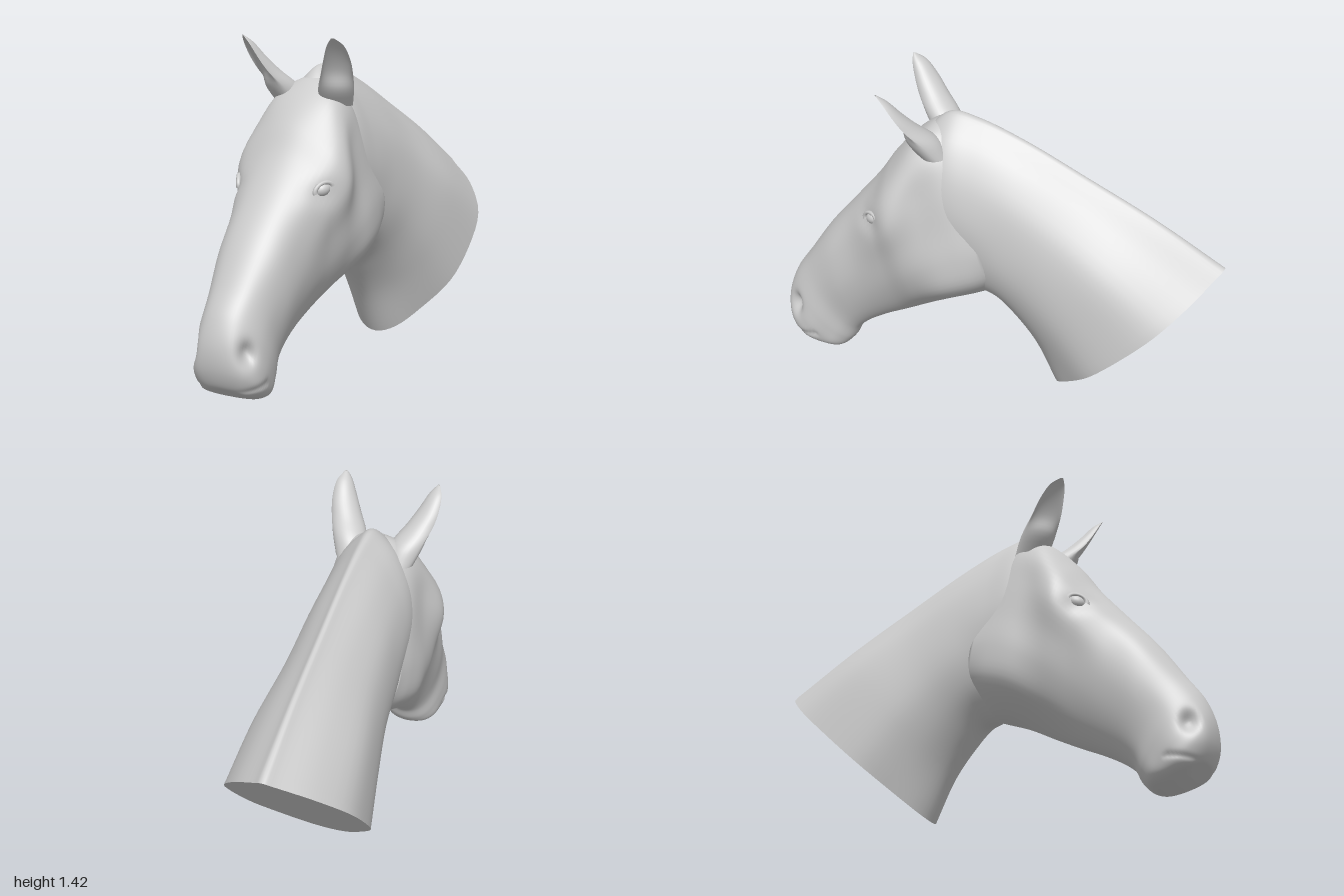
import * as THREE from 'three';

const V = (x, y, z) => new THREE.Vector3(x, y, z);
const material = new THREE.MeshStandardMaterial({ color: 0xcccccc });

// Surface through a list of equal-length closed rings, wound to face outwards
function loft(rings) {
  const n = rings[0].length, pos = [], idx = [];
  rings.forEach(r => r.forEach(p => pos.push(p.x, p.y, p.z)));
  let volume = 0;
  const at = i => rings[Math.floor(i / n)][i % n];
  for (let i = 0; i < rings.length - 1; i++) {
    for (let j = 0; j < n; j++) {
      const a = i * n + j, b = i * n + (j + 1) % n;
      for (const t of [[a, b, b + n], [a, b + n, a + n]]) {
        idx.push(...t);
        volume += at(t[0]).dot(at(t[1]).clone().cross(at(t[2])));
      }
    }
  }
  if (volume < 0) idx.reverse();
  const g = new THREE.BufferGeometry();
  g.setAttribute('position', new THREE.Float32BufferAttribute(pos, 3));
  g.setIndex(idx);
  g.computeVertexNormals();
  return g;
}

// Ring that closes an end to a point at its centre
function closing(ring) {
  const c = V(0, 0, 0);
  ring.forEach(p => c.add(p));
  c.divideScalar(ring.length);
  return ring.map(() => c.clone());
}

// Smooth rings from control rings: splines around, then along
function smooth(control, around, along) {
  const fine = control.map(pts => {
    const curve = new THREE.CatmullRomCurve3(pts, true, 'catmullrom', 0.5);
    return Array.from({ length: around }, (_, j) => curve.getPoint(j / around));
  });
  const columns = fine[0].map((_, j) => new THREE.CatmullRomCurve3(fine.map(r => r[j])));
  return Array.from({ length: along + 1 }, (_, i) => columns.map(c => c.getPoint(i / along)));
}

// Cross-section: top and bottom midline points [z, y], then seven half widths from top to bottom
function section([tz, ty, bz, by, ...w]) {
  const pts = [];
  for (let k = 0; k < 16; k++) {
    const m = k <= 8 ? k : 16 - k;
    const t = (1 - Math.cos(m * Math.PI / 8)) / 2;
    const half = m === 0 || m === 8 ? 0 : w[m - 1];
    pts.push(V(k <= 8 ? half : -half, ty + (by - ty) * t, tz + (bz - tz) * t));
  }
  return pts;
}

const neckSections = [
  [-1.0, 0.77, -0.285, 0.055, 0.05, 0.17, 0.27, 0.29, 0.265, 0.175, 0.09],
  [-0.7, 0.94, -0.19, 0.24, 0.04, 0.145, 0.24, 0.26, 0.24, 0.17, 0.08],
  [-0.4, 1.085, -0.1, 0.36, 0.035, 0.12, 0.2, 0.228, 0.215, 0.16, 0.08],
  [-0.12, 1.215, -0.03, 0.43, 0.035, 0.115, 0.185, 0.213, 0.207, 0.16, 0.08],
  [0.08, 1.285, 0.05, 0.455, 0.04, 0.115, 0.18, 0.21, 0.195, 0.15, 0.07],
  [0.2, 1.3, 0.16, 0.52, 0.045, 0.12, 0.178, 0.203, 0.19, 0.14, 0.06],
  [0.29, 1.23, 0.25, 0.6, 0.055, 0.12, 0.165, 0.19, 0.19, 0.14, 0.06],
  [0.36, 1.12, 0.32, 0.7, 0.05, 0.1, 0.14, 0.16, 0.15, 0.1, 0.05],
];

const headSections = [
  [0.13, 1.22, -0.05, 0.5, 0.05, 0.105, 0.155, 0.19, 0.205, 0.17, 0.07],
  [0.25, 1.255, 0.04, 0.455, 0.095, 0.16, 0.192, 0.212, 0.228, 0.205, 0.1],
  [0.34, 1.2, 0.16, 0.405, 0.13, 0.195, 0.213, 0.225, 0.24, 0.215, 0.11],
  [0.45, 1.08, 0.3, 0.325, 0.11, 0.222, 0.266, 0.242, 0.218, 0.165, 0.075],
  [0.53, 0.96, 0.42, 0.26, 0.1, 0.198, 0.226, 0.207, 0.177, 0.125, 0.06],
  [0.65, 0.81, 0.52, 0.21, 0.09, 0.155, 0.18, 0.18, 0.155, 0.11, 0.055],
  [0.78, 0.65, 0.61, 0.155, 0.08, 0.137, 0.162, 0.165, 0.143, 0.105, 0.055],
  [0.89, 0.485, 0.66, 0.11, 0.07, 0.117, 0.143, 0.147, 0.133, 0.105, 0.06],
  [0.965, 0.37, 0.69, 0.05, 0.065, 0.112, 0.143, 0.152, 0.14, 0.115, 0.07],
  [0.998, 0.265, 0.73, 0.012, 0.07, 0.117, 0.142, 0.152, 0.14, 0.12, 0.075],
  [0.995, 0.17, 0.79, 0.012, 0.07, 0.11, 0.132, 0.14, 0.13, 0.105, 0.065],
  [0.967, 0.098, 0.87, 0.037, 0.045, 0.075, 0.095, 0.103, 0.097, 0.077, 0.045],
  [0.945, 0.08, 0.89, 0.045, 0.02, 0.035, 0.045, 0.05, 0.045, 0.035, 0.02],
];

const bump = (d, r) => Math.exp(-(d * d) / (r * r));
const mouth = new THREE.Line3(V(0, 0.075, 1.0), V(0, 0.105, 0.84));

// Press the nostrils, eye sockets and mouth line into the head
function sculpt(p) {
  const side = Math.sign(p.x), ax = Math.abs(p.x);
  const nostril = bump(Math.hypot(ax - 0.115, (p.y - 0.235) * 0.75, p.z - 0.935), 0.032);
  const socket = bump(Math.hypot(p.y - 0.815, (p.z - 0.52) * 0.8), 0.04) * (ax > 0.12 ? 1 : 0);
  const flat = V(0, p.y, p.z);
  const lip = bump(mouth.closestPointToPoint(flat, true, V(0, 0, 0)).distanceTo(flat), 0.012);
  p.x -= side * (0.035 * nostril + 0.016 * socket) + p.x * 0.05 * lip;
  p.z -= 0.03 * nostril;
}

// Ear sections: x, y, z, half width, depth, how far the front bulges (+) or cups (-)
const earSections = [
  [0.11, 1.14, 0.25, 0.07, 0.07, 0.8],
  [0.14, 1.215, 0.3, 0.074, 0.085, 0.6],
  [0.178, 1.28, 0.358, 0.066, 0.074, -0.1],
  [0.2, 1.34, 0.395, 0.055, 0.052, -0.4],
  [0.213, 1.4, 0.43, 0.034, 0.03, -0.4],
  [0.214, 1.43, 0.453, 0.006, 0.005, 0.3],
];

function earGeometry(side) {
  const rings = earSections.map(([x, y, z, w, d, cup]) =>
    Array.from({ length: 16 }, (_, k) => {
      const a = k / 16 * Math.PI * 2, s = Math.sin(a);
      const across = w * Math.cos(a), front = d * s * (s > 0 ? cup : 1);
      return V(side * (x + 0.78 * across + 0.62 * front), y, z - 0.62 * across + 0.78 * front);
    }));
  const fine = smooth(rings, 32, 20);
  return loft([...fine, closing(fine[fine.length - 1])]);
}

export function createModel() {
  const model = new THREE.Group();
  model.name = 'horseHead';
  const add = (name, geometry, parent = model) => {
    const mesh = new THREE.Mesh(geometry, material);
    mesh.name = name;
    parent.add(mesh);
    return mesh;
  };

  // Neck with crest, and its flat slanted cut
  const neck = smooth(neckSections.map(section), 64, 49);
  add('neck', loft([...neck, closing(neck[neck.length - 1])]));
  add('neckCut', loft([neck[0], closing(neck[0])]));

  // Head from poll to muzzle
  const head = smooth(headSections.map(section), 80, 108);
  head.forEach(r => r.forEach(sculpt));
  add('head', loft([closing(head[0]), ...head, closing(head[head.length - 1])]));

  // Ears and eyes on both sides
  for (const side of [1, -1]) {
    const label = side > 0 ? 'left' : 'right';
    add(label + 'Ear', earGeometry(side));

    const eye = new THREE.Group();
    eye.name = label + 'Eye';
    eye.position.set(side * 0.194, 0.828, 0.498);
    eye.rotation.y = side * 1.05;
    eye.rotation.z = side * 0.35;
    add('eyeball', new THREE.SphereGeometry(0.032, 20, 14), eye).scale.set(1.1, 0.85, 0.8);
    const lid = add('upperLid', new THREE.TorusGeometry(0.036, 0.01, 8, 20, Math.PI), eye);
    lid.scale.set(1.15, 0.8, 1);
    lid.position.z = 0.012;
    model.add(eye);
  }
  return model;
}
